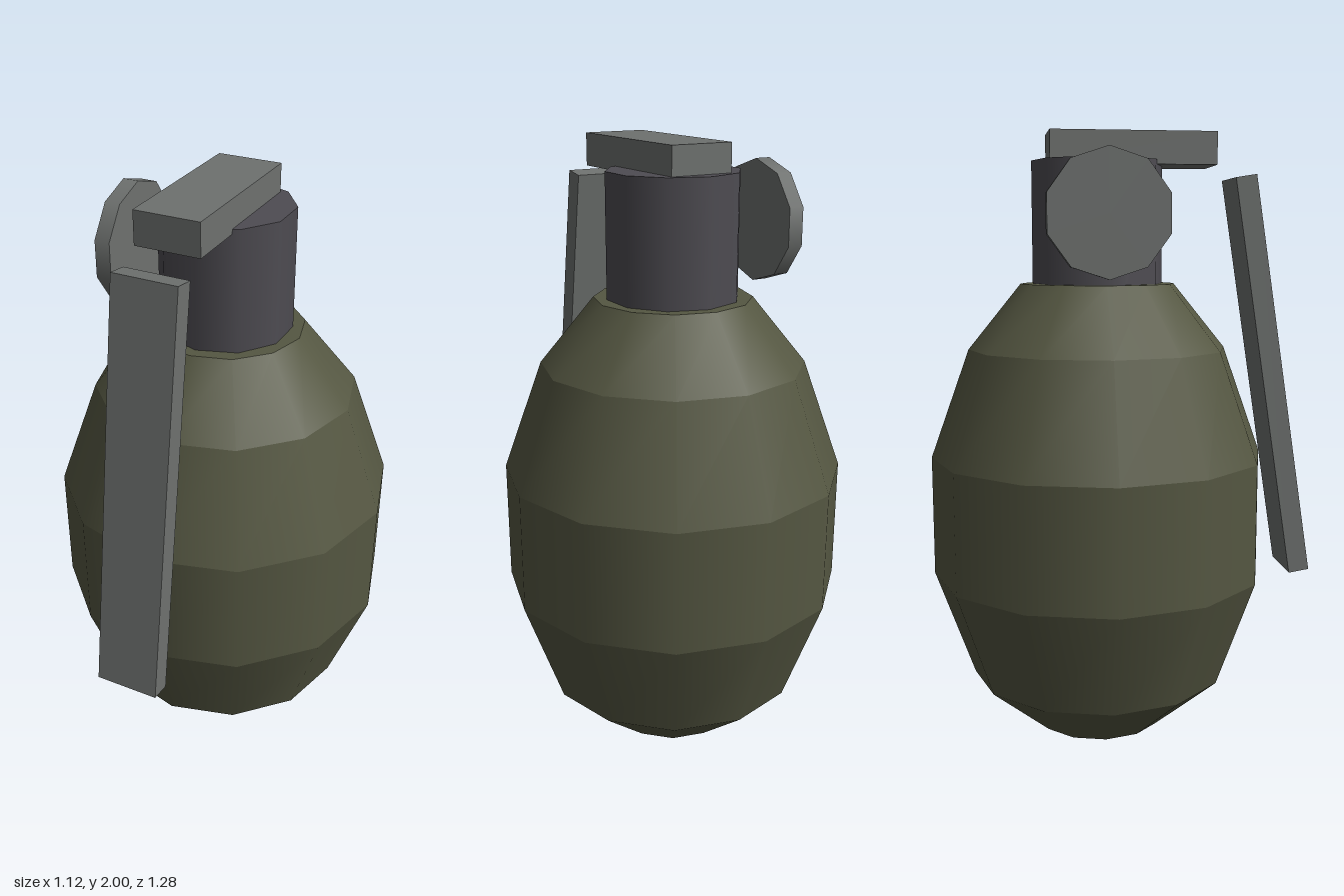
import * as THREE from 'three';

export function createModel() {
  const group = new THREE.Group();
  const material = (name, color) => {
    const m = new THREE.MeshStandardMaterial({ color });
    m.name = name;
    return m;
  };
  const olive = material('olive body', 0x555742);
  const steel = material('grey steel', 0x6e716f);
  const dark = material('dark neck', 0x4e4c52);

  const add = (name, geometry, mat, x, y, z, parent = group) => {
    const mesh = new THREE.Mesh(geometry, mat);
    mesh.name = name;
    mesh.position.set(x, y, z);
    parent.add(mesh);
    return mesh;
  };
  const axisZ = -0.08;

  // Body: stacked tapered bands, each smooth around with a crease between
  const body = new THREE.Group();
  body.name = 'body';
  group.add(body);
  const profile = [[0.215, 0], [0.43, 0.18], [0.56, 0.54], [0.56, 0.94], [0.43, 1.3], [0.255, 1.515]];
  for (let i = 0; i < profile.length - 1; i++) {
    const [r0, y0] = profile[i], [r1, y1] = profile[i + 1];
    add('bodyBand' + (i + 1), new THREE.CylinderGeometry(r1, r0, y1 - y0, 12, 1, true), olive, 0, (y0 + y1) / 2, axisZ, body);
  }
  add('bodyTop', new THREE.CircleGeometry(0.255, 12).rotateX(-Math.PI / 2), olive, 0, 1.515, axisZ, body);
  add('bodyBase', new THREE.CircleGeometry(0.215, 12).rotateX(Math.PI / 2), olive, 0, 0, axisZ, body);

  // Neck
  add('neck', new THREE.CylinderGeometry(0.215, 0.215, 0.41, 10), dark, 0, 1.705, axisZ);

  // Top plate and tilted lever
  add('topPlate', new THREE.BoxGeometry(0.21, 0.105, 0.54), steel, 0, 1.9475, 0.028);
  add('lever', new THREE.BoxGeometry(0.21, 1.35, 0.07), steel, 0, 1.195, 0.5).rotation.x = -0.156;

  // Pull disc on the right side
  const disc = new THREE.CylinderGeometry(0.197, 0.197, 0.052, 10, 1, false, Math.PI / 2).rotateZ(Math.PI / 2);
  add('pullDisc', disc, steel, -0.334, 1.733, -0.083);

  return group;
}
